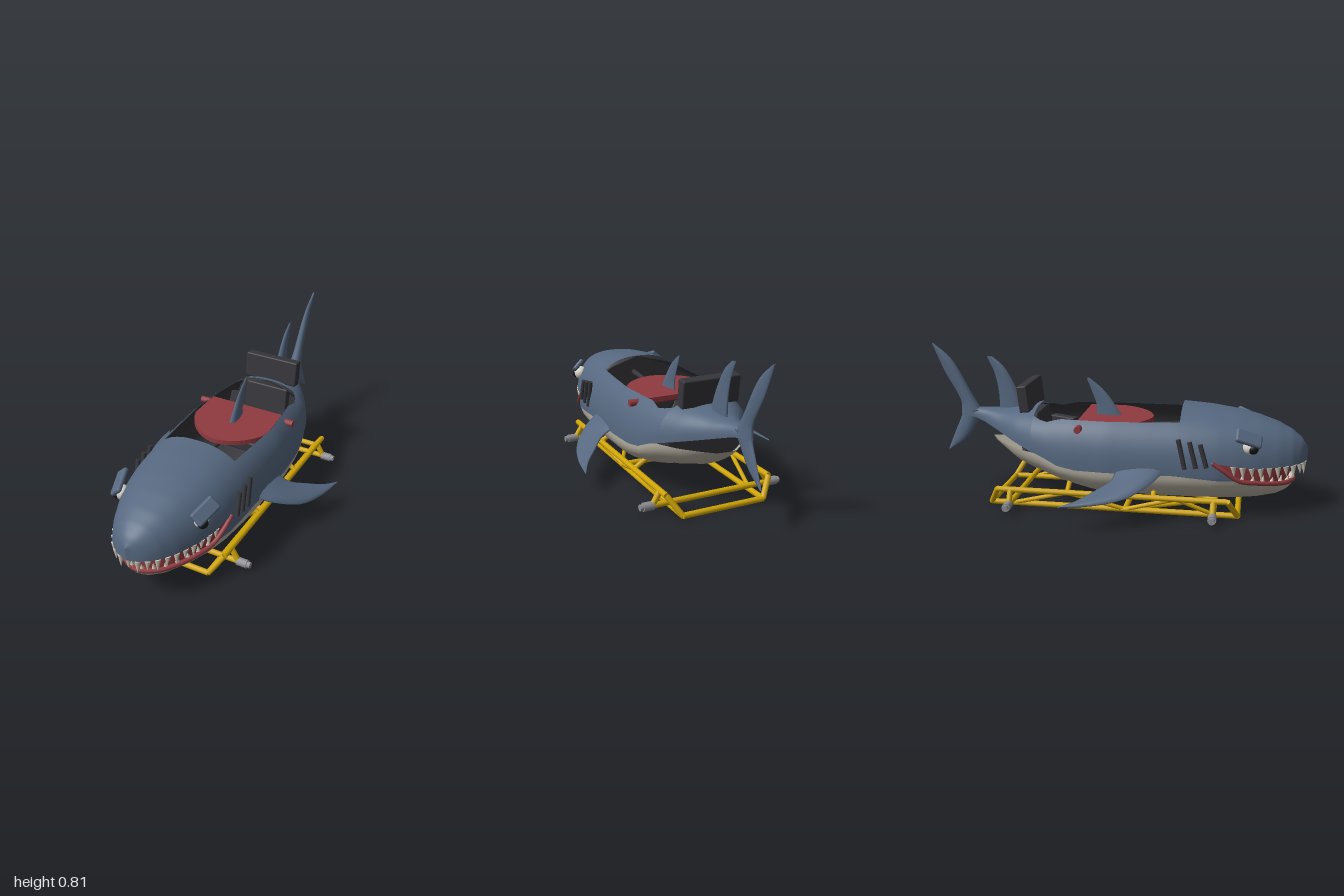
import * as THREE from 'three';
import { RoundedBoxGeometry } from 'three/addons/geometries/RoundedBoxGeometry.js';

const mat = (name, color, side = THREE.FrontSide) => {
  const m = new THREE.MeshStandardMaterial({ color, side });
  m.name = name;
  return m;
};
const V = (x, y, z) => new THREE.Vector3(x, y, z);

// piecewise-linear lookup through [z, value] pairs with falling z
const table = (...rows) => z => {
  if (z >= rows[0][0]) return rows[0][1];
  for (let i = 1; i < rows.length; i++) {
    const [z1, v1] = rows[i], [z0, v0] = rows[i - 1];
    if (z >= z1) return v1 + (v0 - v1) * (z - z1) / (z0 - z1);
  }
  return rows[rows.length - 1][1];
};

// hull outline along z: half width, jaw half width, top, bottom, widest level
const width = table([1, 0], [.985, .055], [.96, .095], [.92, .135], [.85, .18], [.75, .225], [.65, .258], [.55, .28],
  [.4, .295], [.2, .302], [0, .305], [-.2, .29], [-.3, .272], [-.4, .245], [-.5, .19], [-.6, .115], [-.7, .055], [-.75, .036], [-.82, .02]);
const jaw = table([.94, 0], [.93, .05], [.9, .105], [.85, .155], [.75, .215], [.65, .255], [.55, .28]);
const top = table([1, .335], [.97, .38], [.92, .42], [.85, .455], [.75, .488], [.65, .51], [.5, .53], [.35, .54],
  [0, .55], [-.2, .54], [-.42, .505], [-.6, .475], [-.75, .47], [-.82, .46]);
const bottom = table([.94, .15], [.9, .11], [.85, .087], [.75, .07], [.65, .064], [.25, .06], [-.07, .07], [-.28, .13],
  [-.5, .2], [-.6, .265], [-.75, .375], [-.82, .4]);
const middle = table([1, .24], [-.15, .235], [-.25, .25], [-.34, .29], [-.6, .37], [-.75, .42], [-.82, .43]);
// colour seam, lips and cockpit rim heights
const seam = table([.66, .21], [.55, .215], [.35, .235], [-.15, .235], [-.25, .25], [-.34, .29], [-.6, .37], [-.75, .42], [-.82, .43]);
const upperLip = table([1, .27], [.75, .27], [.65, .283], [.53, .305]);
const lowerLip = table([.93, .165], [.85, .175], [.76, .19], [.66, .212], [.58, .27], [.53, .305]);
const rim = table([.36, .483], [0, .477], [-.25, .475], [-.33, .455], [-.4, .475]);

const spow = (v, e) => Math.sign(v) * Math.pow(Math.abs(v), e);
function hull(z, a, k = 1) {
  const up = Math.sin(a) >= 0, e = 2 / (up ? 2.4 : 2.1), m = middle(z);
  const w = up || z < .55 ? width(z) : jaw(z);
  return V(k * w * spow(Math.cos(a), e), m + k * (up ? top(z) - m : m - bottom(z)) * spow(Math.sin(a), e), z);
}
function angleAt(z, y) {
  const m = middle(z), up = y >= m;
  const t = Math.min(1, Math.abs(y - m) / (up ? top(z) - m : m - bottom(z)));
  return (up ? 1 : -1) * Math.asin(Math.pow(t, (up ? 2.4 : 2.1) / 2));
}

// surface from a rule giving a point for u, v in 0..1
function surface(rule, nu, nv) {
  const pos = [], idx = [];
  for (let i = 0; i <= nu; i++) for (let j = 0; j <= nv; j++) pos.push(...rule(i / nu, j / nv).toArray());
  for (let i = 0; i < nu; i++) for (let j = 0; j < nv; j++) {
    const a = i * (nv + 1) + j, b = a + nv + 1;
    idx.push(a, a + 1, b, a + 1, b + 1, b);
  }
  const g = new THREE.BufferGeometry();
  g.setAttribute('position', new THREE.Float32BufferAttribute(pos, 3));
  g.setIndex(idx);
  g.computeVertexNormals();
  return g;
}
// hull panel between two angle rules, rows denser toward z1
const panel = (z0, z1, lo, hi, nu, nv, k = 1) => surface((u, v) => {
  const z = z0 + (z1 - z0) * (1 - Math.pow(1 - u, 1.5));
  return hull(z, THREE.MathUtils.lerp(lo(z), hi(z), v), k);
}, nu, nv);

export function createModel() {
  const model = new THREE.Group();
  const D = THREE.DoubleSide;
  const blue = mat('slate blue', 0x566880, D), cream = mat('belly cream', 0xbab4a6, D), red = mat('mouth red', 0x903a40, D);
  const black = mat('charcoal', 0x36363b, D), yellow = mat('frame yellow', 0xcfa406), steel = mat('steel grey', 0x8d8d92);
  const ivory = mat('tooth ivory', 0xcdc6b6), white = mat('eye white', 0xd8d5cc), ink = mat('pupil black', 0x18181b);
  const add = (name, geo, m) => {
    const mesh = new THREE.Mesh(geo, m);
    mesh.name = name;
    model.add(mesh);
    return mesh;
  };
  const bar = (name, a, b, r, m, r2 = r) => {
    const d = b.clone().sub(a), mesh = add(name, new THREE.CylinderGeometry(r2, r, d.length(), 12), m);
    mesh.position.copy(a).addScaledVector(d, .5);
    mesh.quaternion.setFromUnitVectors(V(0, 1, 0), d.normalize());
    return mesh;
  };

  // blue skin: hood over the head, rear deck, cockpit sides, cheeks
  const PI = Math.PI, seamA = z => angleAt(z, seam(z)), rimA = z => angleAt(z, rim(z));
  const lipA = z => angleAt(z, upperLip(z)), cheekA = z => angleAt(z, Math.max(seam(z), lowerLip(z)));
  add('hood', panel(.36, 1, lipA, z => PI - lipA(z), 40, 40), blue);
  add('rearDeck', panel(-.82, -.4, seamA, z => PI - seamA(z), 20, 32), blue);
  add('leftSide', panel(-.4, .36, seamA, rimA, 28, 14), blue);
  add('rightSide', panel(-.4, .36, z => PI - rimA(z), z => PI - seamA(z), 28, 14), blue);
  add('leftCheek', panel(.36, .66, seamA, cheekA, 20, 6), blue);
  add('rightCheek', panel(.36, .66, z => PI - cheekA(z), z => PI - seamA(z), 20, 6), blue);

  // cream belly and lower jaw
  const bellyA = z => angleAt(z, Math.min(seam(z), lowerLip(z)));
  add('belly', panel(-.82, .94, z => -PI - bellyA(z), bellyA, 70, 32), cream);

  // mouth: palate, jaw floor, back wall and gum
  const lip = (z, y) => hull(z, angleAt(z, y(z)));
  const plate = (y, z1, drop) => surface((u, v) => {
    const p = lip(.53 + (z1 - .53) * u, y);
    return V(p.x * (1 - 2 * v) * .99, p.y + drop, p.z);
  }, 24, 2);
  add('palate', plate(upperLip, .995, .002), red);
  add('jawFloor', plate(lowerLip, .935, -.003), red);
  for (const s of [1, -1]) add('mouthWall', surface((u, v) => {
    const z = .53 + .41 * (1 - (1 - u) ** 1.5), y = THREE.MathUtils.lerp(lowerLip(z), upperLip(z), v);
    return V(s * (.98 - .1 * u) * jaw(z), y, .53 + (z - .53) * .93);
  }, 24, 2), red);
  const lipCurve = (zs, y, end) => {
    const half = zs.map(z => lip(z, y));
    const pts = [...half, end, ...half.slice().reverse().map(p => V(-p.x, p.y, p.z))];
    return new THREE.CatmullRomCurve3(pts);
  };
  const lowCurve = lipCurve([.53, .58, .66, .75, .84, .9], lowerLip, V(0, .165, .935));
  const highCurve = lipCurve([.62, .7, .8, .88, .94, .98], upperLip, V(0, .27, .99));
  add('lowerGum', new THREE.TubeGeometry(lowCurve, 60, .012, 8), red);

  // teeth
  const teeth = (name, curve, n, u0, len, r) => {
    for (let i = 0; i < n; i++) {
      const p = curve.getPointAt(u0 + (1 - 2 * u0) * i / (n - 1));
      p.x *= .97; p.z -= .008;
      const size = i % 2 ? 1 : .8;
      bar(name, p, V(p.x, p.y + len * size, p.z + .006), r, ivory, .001);
    }
  };
  teeth('upperTooth', highCurve, 21, .02, -.065, .016);
  teeth('lowerTooth', lowCurve, 14, .17, .042, .014);

  // fins: lens-shaped sections between a leading and a trailing edge
  const fin = (name, lead, trail, thick, normal) => {
    const a = new THREE.CatmullRomCurve3(lead.map(p => V(...p))), b = new THREE.CatmullRomCurve3(trail.map(p => V(...p)));
    add(name, surface((u, v) => {
      const t = 2 * PI * v;
      return a.getPoint(u).lerp(b.getPoint(u), (1 - Math.cos(t)) / 2)
        .addScaledVector(normal, thick * (1 - .85 * u) * Math.sin(t) * (1 + .4 * Math.cos(t)));
    }, 16, 14), blue);
  };
  const X = V(1, 0, 0);
  fin('tailUpperLobe', [[0, .43, -.72], [0, .52, -.775], [0, .73, -.895], [0, .815, -.995]],
    [[0, .43, -.85], [0, .5, -.85], [0, .65, -.93], [0, .81, -1]], .03, X);
  fin('tailLowerLobe', [[0, .46, -.72], [0, .39, -.76], [0, .29, -.83], [0, .225, -.925]],
    [[0, .46, -.84], [0, .42, -.85], [0, .33, -.89], [0, .225, -.935]], .03, X);
  fin('rearDorsalFin', [[0, .44, -.48], [0, .58, -.535], [0, .7, -.605], [0, .75, -.665]],
    [[0, .44, -.63], [0, .56, -.635], [0, .66, -.655], [0, .75, -.695]], .024, X);
  fin('frontDorsalFin', [[0, .45, .04], [0, .52, -.005], [0, .595, -.065], [0, .655, -.14]],
    [[0, .45, -.1], [0, .51, -.1], [0, .57, -.12], [0, .65, -.152]], .018, X);
  for (const s of [1, -1]) fin('pectoralFin',
    [[s * .27, .255, .3], [s * .36, .215, .245], [s * .46, .163, .13], [s * .515, .137, -.03], [s * .535, .126, -.18]],
    [[s * .27, .255, .05], [s * .35, .215, .04], [s * .42, .18, -.03], [s * .49, .147, -.11], [s * .533, .126, -.19]],
    .026, V(s * .44, .9, 0));

  for (const s of [1, -1]) {
    // gill slits
    for (const [z, lo, hi] of [[.485, .285, .4], [.433, .28, .41], [.378, .272, .42]])
      bar('gillSlit', V(s * .292, lo, z + .017), V(s * .288, hi, z - .017), .012, black);
    // eye and brow
    const ball = (name, r, x, y, z, m) => add(name, new THREE.SphereGeometry(r, 20, 14), m).position.set(s * x, y, z);
    ball('eyeball', .038, .218, .38, .71, white);
    ball('pupil', .028, .233, .376, .722, ink);
    const brow = add('brow', new RoundedBoxGeometry(.075, .026, .14, 3, .012), blue);
    const along = V(s * -.035, -.045, .12).normalize(), across = V(s * .7, -.7, 0);
    const n = along.clone().cross(across).normalize();
    across.copy(n).cross(along);
    brow.quaternion.setFromRotationMatrix(new THREE.Matrix4().makeBasis(across, n, along));
    brow.position.set(s * .236, .428, .7);
  }

  // cockpit lining with bulkheads
  const lineA = z => (z > .36 || z < -.4 ? PI / 2 : rimA(z));
  add('cockpitLining', panel(-.45, .45, z => -PI - lineA(z), lineA, 60, 32, .985), black);
  for (const z of [.45, -.45]) {
    const pts = [];
    for (let i = 0; i < 32; i++) pts.push(hull(z, i * PI / 16, .98));
    add('bulkhead', new THREE.ShapeGeometry(new THREE.Shape(pts.map(p => new THREE.Vector2(p.x, p.y)))), black).position.z = z;
  }

  // seat, headrest, steering column
  const box = (name, w, h, d, x, y, z, rx = 0, ry = 0) => {
    const m = add(name, new RoundedBoxGeometry(w, h, d, 2, .008), black);
    m.position.set(x, y, z);
    m.rotation.set(rx, ry, 0);
  };
  box('headrest', .31, .14, .055, 0, .557, -.458, -.12);
  box('seatBack', .25, .3, .05, 0, .33, -.39, -.15);
  box('seatCushion', .3, .06, .24, 0, .21, -.26);
  for (const s of [1, -1]) box('armrest', .05, .06, .16, s * .165, .37, -.315, 0, s * -.4);
  bar('steeringColumn', V(0, .41, .12), V(0, .43, .42), .014, black);

  // red lap panel with a rounded front and hinge pins
  const lap = new THREE.Shape();
  lap.moveTo(-.22, -.17).lineTo(.22, -.17).lineTo(.22, .02).bezierCurveTo(.18, .14, .08, .2, 0, .205)
    .bezierCurveTo(-.08, .2, -.18, .14, -.22, .02);
  const lapGeo = new THREE.ExtrudeGeometry(lap, { depth: .025, bevelEnabled: false, curveSegments: 12 });
  add('lapPanel', lapGeo.rotateX(PI / 2), red).position.y = .46;
  bar('lapHinge', V(-.277, .44, -.145), V(.277, .44, -.145), .018, red);

  // tubular frame
  const R = .015;
  for (const s of [1, -1]) {
    const lo = z => V(s * .22, .018, z), hi = z => V(s * .28, .11, z);
    const runs = [[lo(.66), lo(-.62)], [hi(.61), hi(-.57)], [lo(.66), hi(.61)], [lo(-.62), hi(-.57)]];
    for (const [a, b] of runs) bar('frameRail', a, b, R, yellow);
    const braces = [[.54, .355], [.09, .355], [.09, -.2], [-.5, -.2]];
    for (const [l, h] of braces) bar('frameBrace', lo(l), hi(h), .011, yellow);
    for (const z of [.24, -.2]) bar('bodyMount', hi(z), V(s * .21, .155, z), .013, yellow);
    for (const z of [.54, -.5]) {
      bar('axleStrut', V(s * .32, .045, z), hi(z), R, yellow);
      bar('hub', V(s * .315, .042, z), V(s * .37, .042, z), .022, steel);
      bar('hubCap', V(s * .37, .042, z), V(s * .387, .042, z), .016, steel);
    }
    bar('floorBrace', V(0, .018, .54), V(s * .22, .018, .09), .011, yellow);
  }
  for (const z of [.66, .09, -.62]) bar('crossBar', V(-.22, .018, z), V(.22, .018, z), R, yellow);
  for (const z of [.54, -.5]) bar('axle', V(-.32, .042, z), V(.32, .042, z), R, yellow);

  return model;
}
